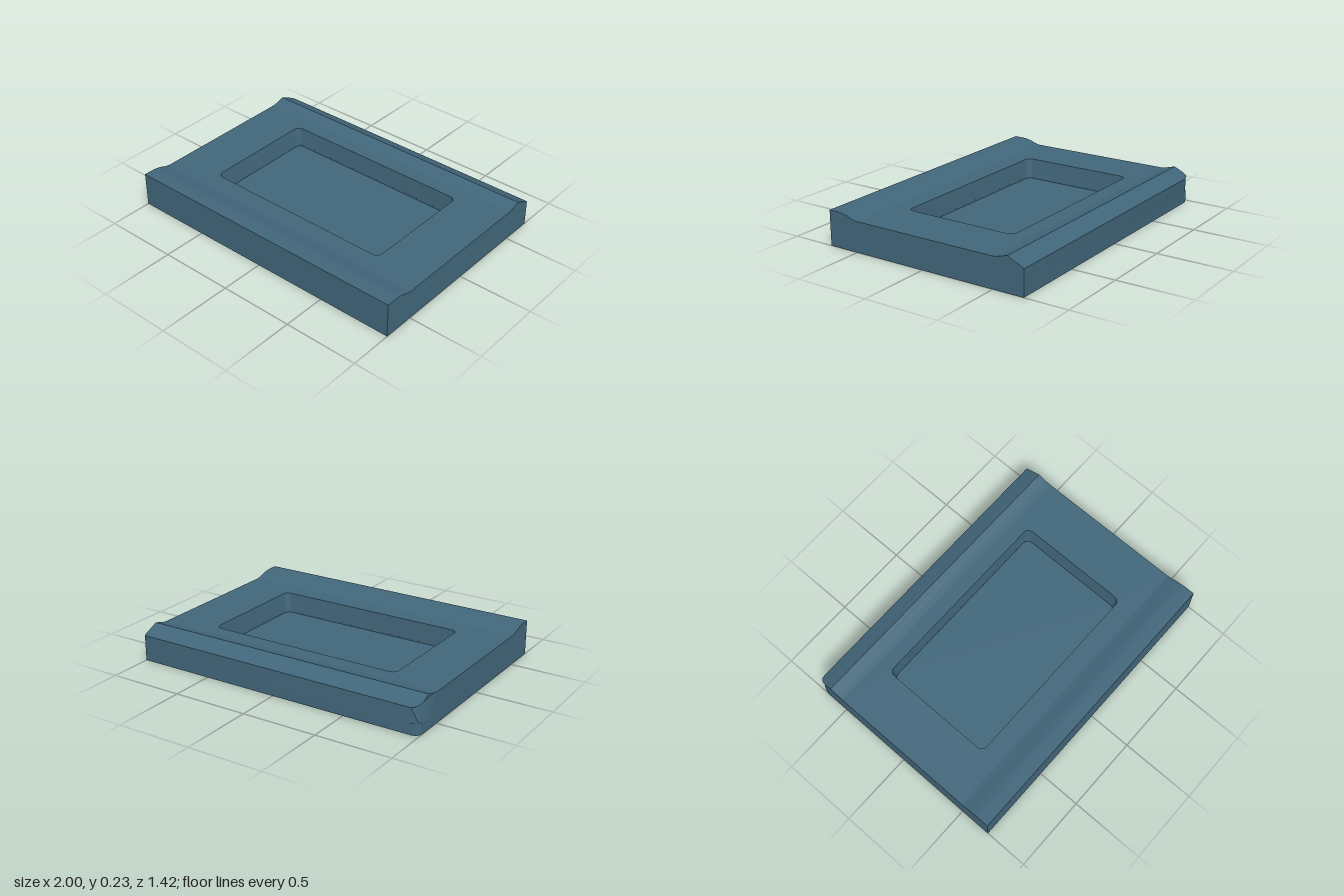
import * as THREE from 'three';
import { toCreasedNormals } from 'three/addons/utils/BufferGeometryUtils.js';

const CX = -0.005, CZ = -0.015; // centre of the pocket
const PANEL = 0.075;            // underside of the top panel

// rounded rectangle in plan, as points (x, -z)
function roundedRect(hx, hz, r, cx = CX, cz = CZ) {
  const pts = [];
  [[1, 1], [-1, 1], [-1, -1], [1, -1]].forEach(([sx, sy], q) => {
    for (let i = 0; i <= 5; i++) {
      const a = (q + i / 5) * Math.PI / 2;
      pts.push(new THREE.Vector2(
        cx + sx * (hx - r) + r * Math.cos(a),
        -cz + sy * (hz - r) + r * Math.sin(a)));
    }
  });
  return pts;
}

const rect = (hx, hz) => [[hx, hz], [-hx, hz], [-hx, -hz], [hx, -hz]]
  .map(([x, y]) => new THREE.Vector2(x, y));

// plan outline raised from y0 to y1, with an optional hole
function slab(outline, hole, y0, y1) {
  const shape = new THREE.Shape(outline);
  if (hole) shape.holes.push(new THREE.Path(hole));
  const g = new THREE.ExtrudeGeometry(shape, { depth: y1 - y0, bevelEnabled: false });
  return g.rotateX(-Math.PI / 2).translate(0, y0, 0);
}

// (z, y) section swept across the full width
function strip(section) {
  const shape = new THREE.Shape(section.map(([z, y]) => new THREE.Vector2(-z, y)));
  const g = new THREE.ExtrudeGeometry(shape, { depth: 2, bevelEnabled: false });
  return g.rotateY(Math.PI / 2).translate(-1, 0, 0);
}

// move vertices by a rule
function reshape(g, rule) {
  const p = g.attributes.position, v = new THREE.Vector3();
  for (let i = 0; i < p.count; i++) {
    rule(v.fromBufferAttribute(p, i));
    p.setXYZ(i, v.x, v.y, v.z);
  }
  return g;
}

export function createModel() {
  const group = new THREE.Group();
  const material = new THREE.MeshStandardMaterial({ color: 0x41667a });
  const add = (name, geometry) => {
    const mesh = new THREE.Mesh(toCreasedNormals(geometry, 0.5), material);
    mesh.name = name;
    group.add(mesh);
  };

  // flat middle panel with a slightly tapered pocket opening
  const panel = slab(rect(1, 0.5), roundedRect(0.665, 0.39, 0.04), PANEL, 0.2);
  add('topPanel', reshape(panel, v => {
    if (Math.abs(v.x) < 0.9 && v.y < 0.1) {
      v.x = CX + (v.x - CX) * 0.98;
      v.z = CZ + (v.z - CZ) * 0.98;
    }
  }));

  // raised front edge
  add('frontRidge', strip([
    [0.71, PANEL], [0.71, 0.232], [0.64, 0.232], [0.61, 0.229], [0.57, 0.22],
    [0.53, 0.205], [0.5, 0.2], [0.5, PANEL]]));

  // peaked back edge, with one rounded corner
  const back = strip([
    [-0.5, PANEL], [-0.5, 0.2], [-0.53, 0.204], [-0.57, 0.216], [-0.6, 0.224],
    [-0.66, 0.197], [-0.69, 0.184], [-0.705, 0.177], [-0.71, 0.17],
    [-0.71, PANEL], [-0.69, PANEL], [-0.66, PANEL]]);
  add('backRidge', reshape(back, v => {
    const t = Math.min(1, Math.max(0, (-0.66 - v.z) / 0.05));
    if (v.x < 0) v.x = -1 + 0.05 * (1 - Math.sqrt(1 - t * t));
  }));

  // outer skirt around the hollow underside
  const outline = [[1, -0.71], [1, 0.71], [-0.95, 0.71], [-0.954, 0.705],
    [-0.96, 0.69], [-1, 0.66], [-1, -0.71]].map(([x, y]) => new THREE.Vector2(x, y));
  outline.splice(2, 4, ...[0, 0.25, 0.5, 0.75, 1].map(t => {
    const a = Math.PI / 2 * (1 + t);
    return new THREE.Vector2(-0.95 + 0.05 * Math.cos(a), 0.66 + 0.05 * Math.sin(a));
  }));
  add('skirt', slab(outline, rect(0.955, 0.665), 0, PANEL));

  // wall of the pocket showing below, and its floor
  add('pocketWall', slab(roundedRect(0.725, 0.455, 0.09),
    roundedRect(0.652, 0.382, 0.04), 0.005, PANEL));
  add('pocketFloor', slab(roundedRect(0.67, 0.4, 0.05), null, 0.052, 0.064));

  return group;
}
